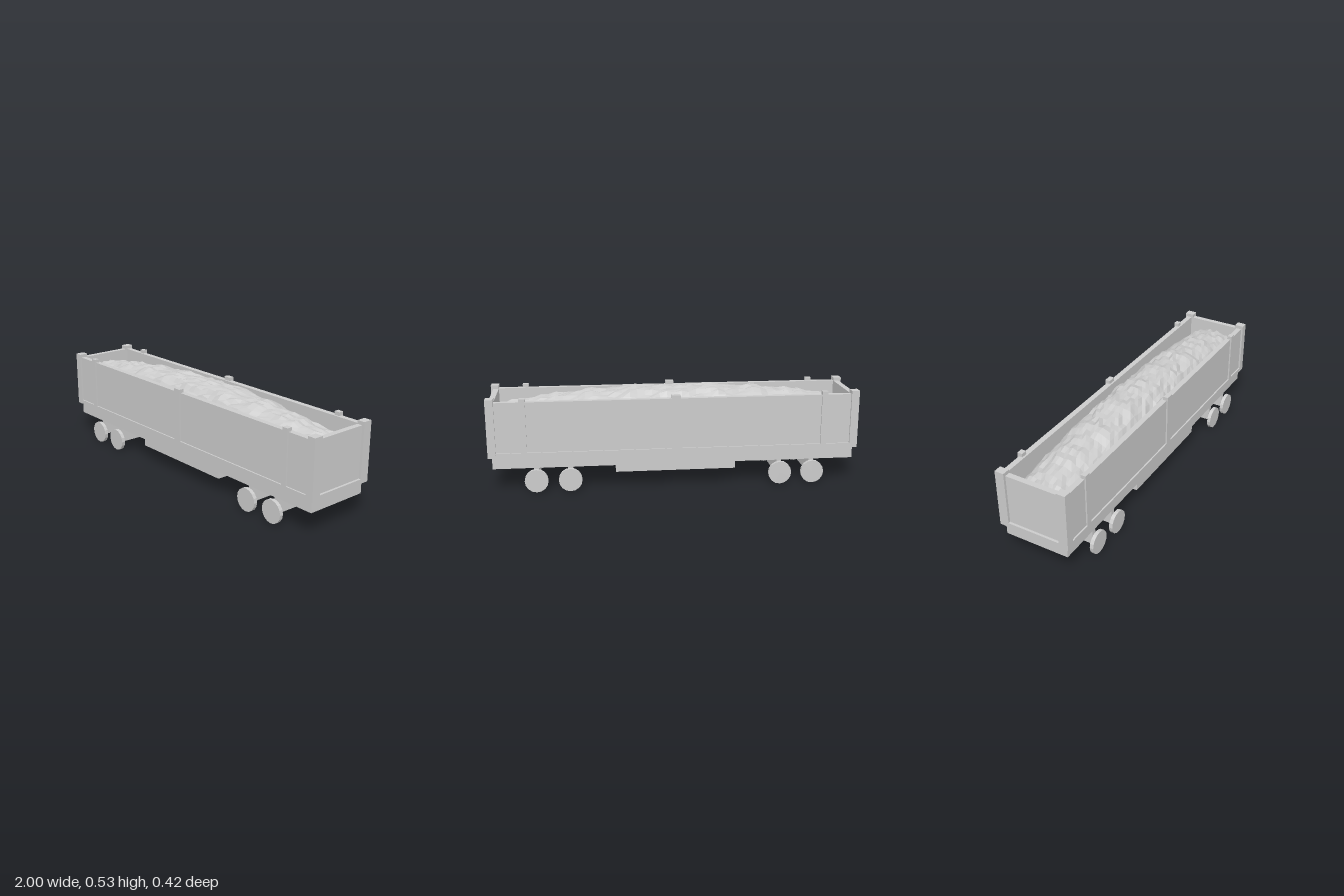
import * as THREE from 'three';

export function createModel() {
  const model = new THREE.Group();
  const mat = new THREE.MeshStandardMaterial({ color: 0xcccccc, flatShading: true });

  const add = (name, geometry) => {
    const mesh = new THREE.Mesh(geometry, mat);
    mesh.name = name;
    model.add(mesh);
    return mesh;
  };
  // Box given by its low and high corner on each axis
  const box = (name, x0, x1, y0, y1, z0, z1) =>
    add(name, new THREE.BoxGeometry(x1 - x0, y1 - y0, z1 - z0)
      .translate((x0 + x1) / 2, (y0 + y1) / 2, (z0 + z1) / 2));
  // Side profile in x/y extruded from z0 to z1
  const profile = (name, pts, z0, z1) =>
    add(name, new THREE.ExtrudeGeometry(
      new THREE.Shape(pts.map(([x, y]) => new THREE.Vector2(x, y))),
      { depth: z1 - z0, bevelEnabled: false }).translate(0, 0, z0));

  // Underframe with the deeper belly in the middle
  profile('underframe', [
    [-0.98, 0.2], [-0.98, 0.128], [-0.325, 0.128], [-0.325, 0.09],
    [0.325, 0.09], [0.325, 0.128], [0.98, 0.128], [0.98, 0.2],
  ], -0.178, 0.178);

  box('floor', -0.99, 0.99, 0.193, 0.217, -0.18, 0.18);

  for (const s of [-1, 1]) {
    const zSpan = (a, b) => (s > 0 ? [a, b] : [-b, -a]);

    // Long side: sagging sill, recessed panel, posts
    profile('sideSill', [
      [-1, 0.217], [-1, 0.193], [-0.82, 0.193], [-0.25, 0.172],
      [0.25, 0.172], [0.82, 0.193], [1, 0.193], [1, 0.217],
    ], ...zSpan(0.176, 0.195));
    box('sideWall', -0.985, 0.985, 0.2, 0.491, ...zSpan(0.157, 0.187));
    for (const x of [-0.81, 0, 0.81]) {
      const w = x === 0 ? 0.023 : 0.016;
      box('sidePost', x - w, x + w, 0.2, 0.51, ...zSpan(0.167, 0.195));
    }

    // End: sill and recessed panel
    const xSpan = (a, b) => (s > 0 ? [a, b] : [-b, -a]);
    box('endSill', ...xSpan(0.96, 1), 0.193, 0.217, -0.195, 0.195);
    box('endWall', ...xSpan(0.957, 0.987), 0.2, 0.491, -0.16, 0.16);
    for (const sx of [-1, 1]) {
      const [x0, x1] = sx > 0 ? [0.957, 1] : [-1, -0.957];
      box('cornerPost', x0, x1, 0.193, 0.51, ...zSpan(0.146, 0.197));
    }
  }

  // Wheelsets: axle beam and two wheels with coned inner faces
  const wheelProfile = [[0, 0.17], [0.024, 0.178], [0.063, 0.192], [0.063, 0.212], [0, 0.212]]
    .map(([r, z]) => new THREE.Vector2(r, z));
  for (const x of [-0.75, -0.57, 0.57, 0.75]) {
    box('axleBeam', x - 0.013, x + 0.013, 0.046, 0.13, -0.178, 0.178);
    for (const s of [-1, 1]) {
      const wheel = add('wheel', new THREE.LatheGeometry(wheelProfile, 16));
      wheel.rotation.x = s * Math.PI / 2;
      wheel.position.set(x, 0.064, 0);
    }
  }

  // Heaped load: a crowned sheet, roughened alike in all four quarters
  const nx = 48, nz = 14;
  const load = new THREE.PlaneGeometry(1.92, 0.32, nx, nz).rotateX(-Math.PI / 2);
  const noise = (a, b) => {
    const n = Math.sin(a * 12.9898 + b * 78.233) * 43758.5453;
    return (n - Math.floor(n)) * 2 - 1;
  };
  const p = load.attributes.position;
  for (let i = 0; i < p.count; i++) {
    const x = Math.abs(p.getX(i)), z = Math.abs(p.getZ(i));
    const col = Math.round(x / 0.04), row = Math.round(z * nz / 0.32);
    const crown = 0.521 - 0.085 * (x / 0.95) ** 2 - 0.085 * (z / 0.155) ** 3;
    p.setY(i, crown + 0.009 * noise(col, row) + 0.004 * Math.sin(x * 28 + 1.5));
  }
  load.computeVertexNormals();
  add('load', load);

  return model;
}
